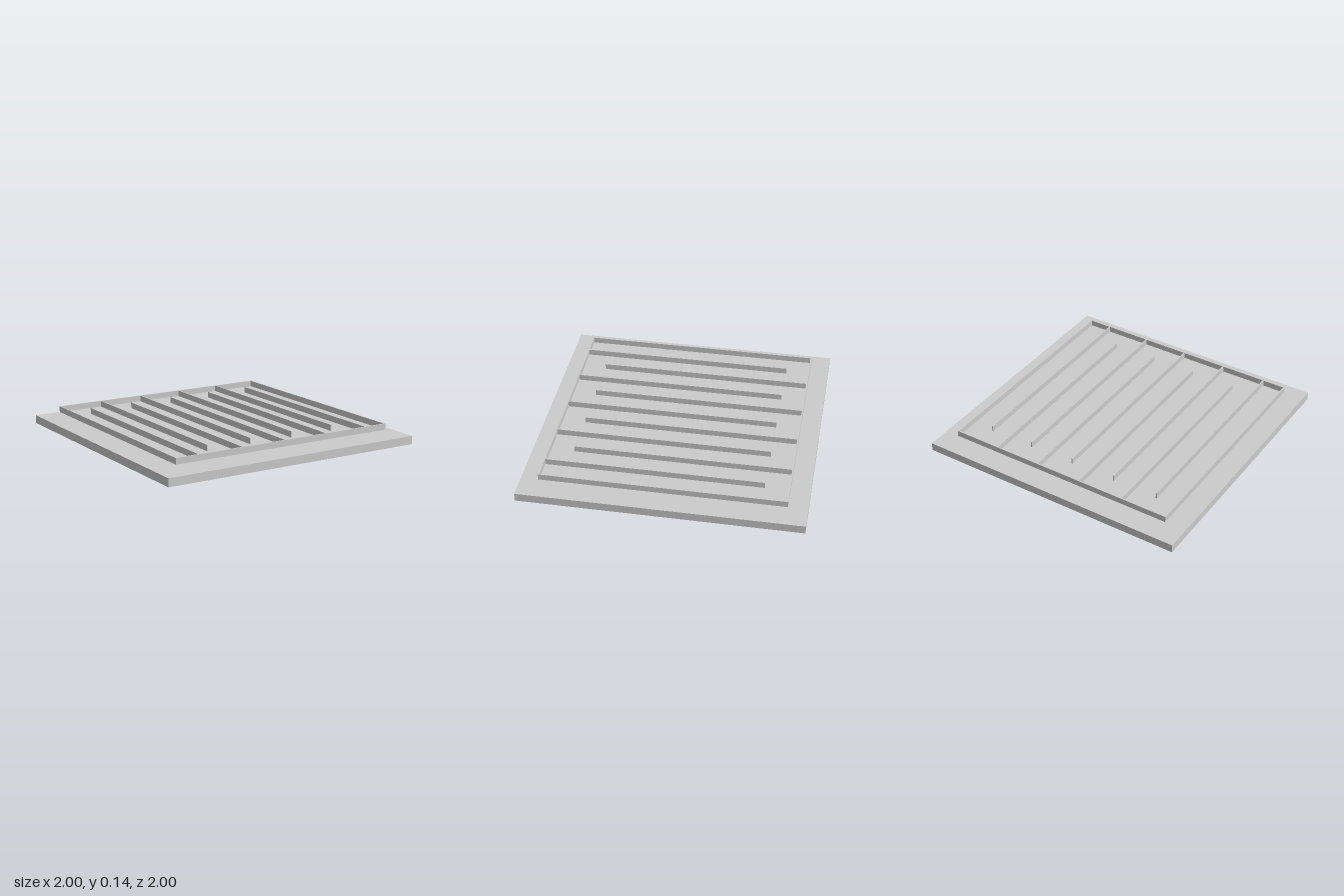
import * as THREE from 'three';

const CELL = 0.172;          // maze grid spacing
const HALF = CELL * 5;       // centre line of the outer walls
const THICK = 0.0086;        // wall thickness
const FLOOR_Y = 0.096;       // height of the raised maze floor
const WALL_H = 0.044;

export function createModel() {
  const group = new THREE.Group();
  const material = new THREE.MeshStandardMaterial({ color: 0xcccccc, flatShading: true });

  const addBox = (name, w, h, d, x, bottom, z) => {
    const mesh = new THREE.Mesh(new THREE.BoxGeometry(w, h, d), material);
    mesh.name = name;
    mesh.position.set(x, bottom + h / 2, z);
    group.add(mesh);
  };

  // Square slab underneath
  addBox('base', 2, 0.06, 2, 0, 0, 0);

  // Thin floor sheet hovering over the base
  const sheet = material.clone();
  sheet.side = THREE.DoubleSide;
  const floor = new THREE.Mesh(new THREE.PlaneGeometry(HALF * 2, HALF * 2), sheet);
  floor.name = 'mazeFloor';
  floor.rotation.x = -Math.PI / 2;
  floor.position.y = FLOOR_Y;
  group.add(floor);

  // Outer walls
  for (const s of [-1, 1]) {
    addBox(s > 0 ? 'frontWall' : 'backWall', HALF * 2 + THICK, WALL_H, THICK, 0, FLOOR_Y, s * HALF);
    addBox(s > 0 ? 'leftWall' : 'rightWall', THICK, WALL_H, HALF * 2 - THICK, s * HALF, FLOOR_Y, 0);
  }

  // Partitions joined alternately to the front and back walls, one cell short of the other
  for (let i = -4; i <= 4; i++) {
    const side = i % 2 === 0 ? 1 : -1;
    addBox('partition', THICK, WALL_H, CELL * 9 - THICK / 2, i * CELL, FLOOR_Y, side * (CELL / 2 - THICK / 4));
  }

  return group;
}
